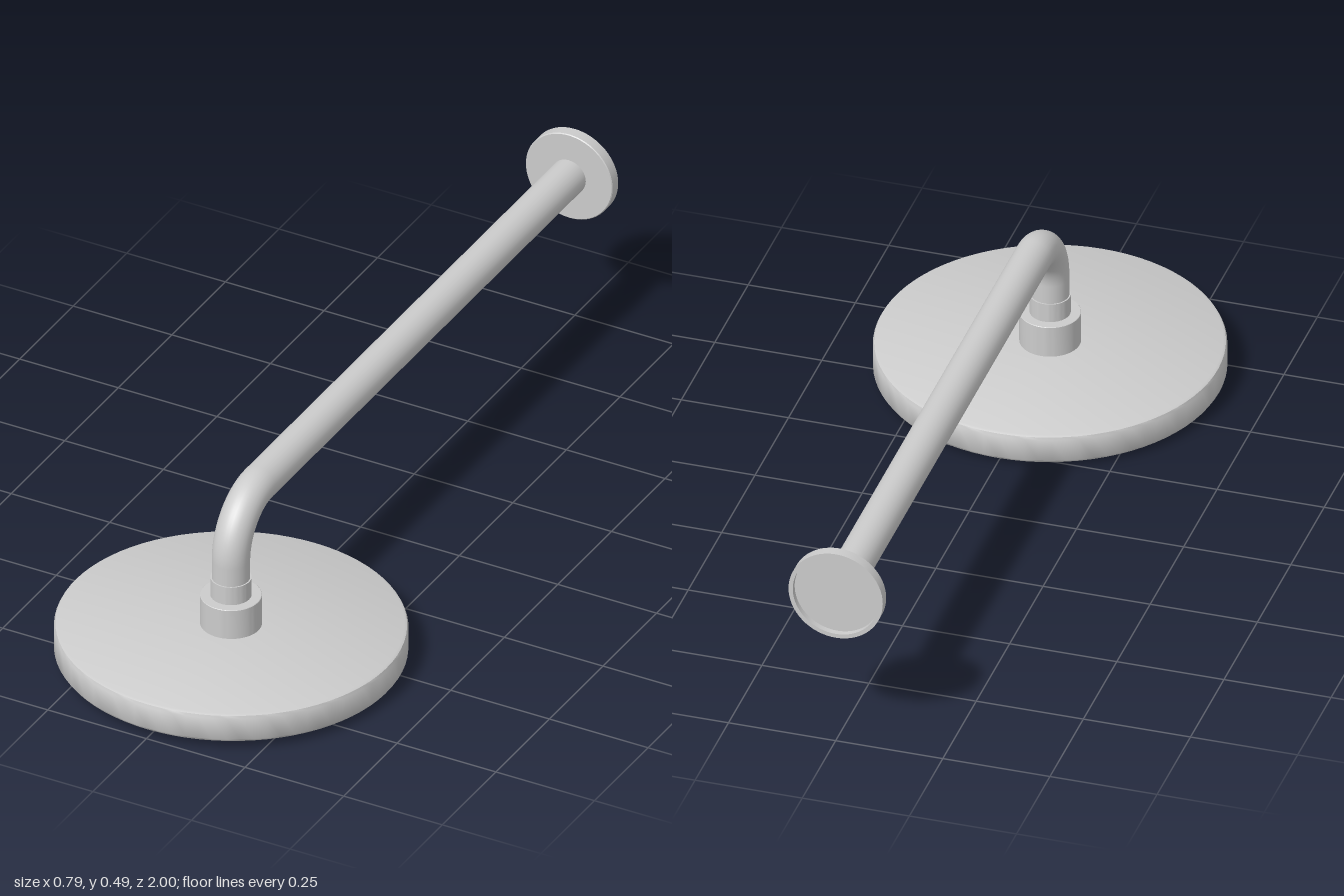
import * as THREE from 'three';
import { toCreasedNormals } from 'three/addons/utils/BufferGeometryUtils.js';

const HEAD_Z = 0.605, ARM_Y = 0.383, PIPE_R = 0.043, BEND_R = 0.13;

export function createModel() {
  const model = new THREE.Group();
  const material = new THREE.MeshStandardMaterial({ color: 0xcccccc });

  const add = (name, geometry, parent = model) => {
    const mesh = new THREE.Mesh(geometry, material);
    mesh.name = name;
    parent.add(mesh);
    return mesh;
  };
  // Turned part: profile of [radius, height] from the bottom up
  const turned = (profile, segments = 64) => toCreasedNormals(
    new THREE.LatheGeometry(profile.map(([r, y]) => new THREE.Vector2(r, y)), segments), 0.6);

  // Shower head, tipped very slightly towards the front
  const head = new THREE.Group();
  head.name = 'showerHead';
  head.position.set(0, 0.0145, HEAD_Z);
  head.rotation.x = -0.0155;
  model.add(head);
  add('headDisc', turned([
    [0, 0], [0.384, 0], [0.391, 0.003], [0.395, 0.009],
    [0.395, 0.063], [0.392, 0.069], [0.386, 0.072], [0, 0.072],
  ], 80), head);

  // Concentric rings of spray nozzles under the head
  const nozzles = new THREE.Group();
  nozzles.name = 'nozzles';
  head.add(nozzles);
  const nozzleShape = turned([[0, -0.0085], [0.007, -0.0085], [0.01, -0.006], [0.012, 0.002]], 12);
  for (let ring = 0; ring <= 7; ring++) {
    const count = Math.max(1, ring * 6);
    for (let i = 0; i < count; i++) {
      const a = (i / count) * Math.PI * 2;
      add('nozzle', nozzleShape, nozzles)
        .position.set(Math.sin(a) * ring * 0.0425, 0, Math.cos(a) * ring * 0.0425);
    }
  }

  // Stepped connector between head and pipe
  add('collar', turned([[0, 0.07], [0.069, 0.07], [0.069, 0.161], [0.068, 0.162], [0, 0.162]]))
    .position.z = HEAD_Z;
  add('neck', turned([[0, 0.155], [0.046, 0.155], [0.046, 0.208], [0, 0.208]]))
    .position.z = HEAD_Z;

  // Arm: short riser, quarter bend and long straight run to the wall
  const bendY = ARM_Y - BEND_R, bendZ = HEAD_Z - BEND_R;
  const pipe = (length) => new THREE.CylinderGeometry(PIPE_R, PIPE_R, length, 32, 1, true);
  add('riser', pipe(bendY - 0.2)).position.set(0, (bendY + 0.2) / 2, HEAD_Z);
  const bend = add('bend', new THREE.TorusGeometry(BEND_R, PIPE_R, 32, 24, Math.PI / 2));
  bend.rotation.y = -Math.PI / 2;
  bend.position.set(0, bendY, bendZ);
  const arm = add('arm', pipe(bendZ + 0.975));
  arm.rotation.x = Math.PI / 2;
  arm.position.set(0, ARM_Y, (bendZ - 0.975) / 2);

  // Wall flange with a recessed back
  const flange = add('wallFlange', turned([
    [0, 0.014], [0.1, 0.014], [0.1, 0], [0.11, 0],
    [0.11, 0.026], [0.108, 0.028], [0, 0.028],
  ]));
  flange.rotation.x = Math.PI / 2;
  flange.position.set(0, ARM_Y, -1);

  return model;
}
